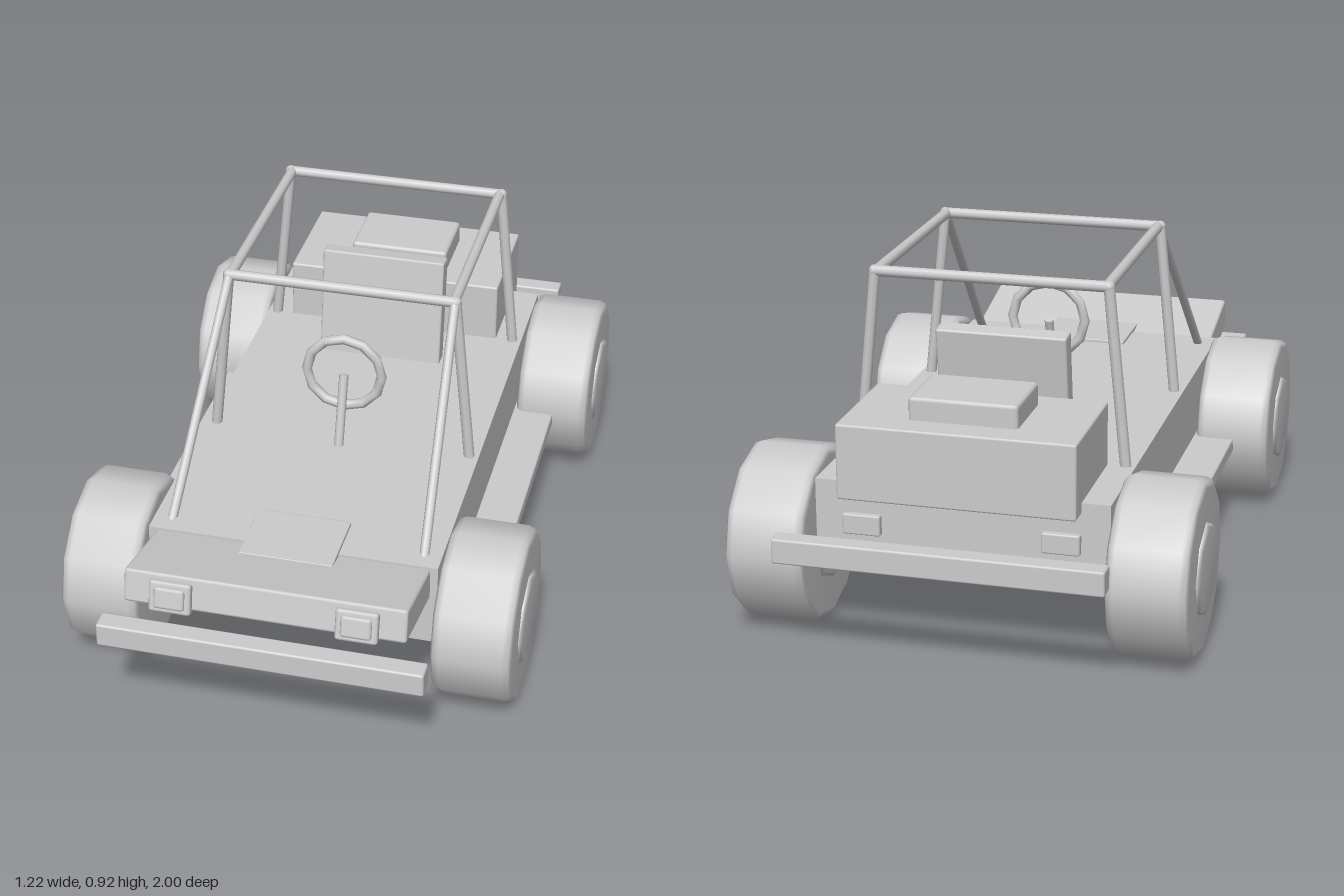
import * as THREE from 'three';
import { RoundedBoxGeometry } from 'three/addons/geometries/RoundedBoxGeometry.js';

const grey = new THREE.MeshStandardMaterial({ color: 0xcccccc });

export function createModel() {
  const model = new THREE.Group();
  model.name = 'buggy';

  const add = (name, geometry, x, y, z, parent = model) => {
    const mesh = new THREE.Mesh(geometry, grey);
    mesh.name = name;
    mesh.position.set(x, y, z);
    parent.add(mesh);
    return mesh;
  };
  const box = (name, [w, h, d], [x, y, z], bevel = 0.006, parent = model) =>
    add(name, new RoundedBoxGeometry(w, h, d, 1, bevel), x, y, z, parent);

  // Straight tube between two points
  const bar = (name, from, to, radius = 0.015) => {
    const a = new THREE.Vector3(...from), b = new THREE.Vector3(...to);
    const dir = b.clone().sub(a);
    const mid = a.clone().add(b).multiplyScalar(0.5);
    const mesh = add(name, new THREE.CylinderGeometry(radius, radius, dir.length(), 8), mid.x, mid.y, mid.z);
    mesh.quaternion.setFromUnitVectors(new THREE.Vector3(0, 1, 0), dir.normalize());
    return mesh;
  };

  // Chassis
  add('body', new THREE.BoxGeometry(0.77, 0.235, 1.44), 0, 0.3125, -0.05);

  // Tilted hood with headlights set in its nose
  const hood = new THREE.Group();
  hood.name = 'hood';
  hood.position.set(0, 0.394, 0.745);
  hood.rotation.x = -0.22;
  model.add(hood);
  box('hoodPanel', [0.73, 0.09, 0.38], [0, 0, 0], 0.008, hood);
  box('hoodScoop', [0.25, 0.03, 0.2], [0, 0.424, 0.635], 0.003);

  // Engine block with air box
  box('engine', [0.62, 0.2, 0.345], [0, 0.5, -0.653]);
  box('airBox', [0.285, 0.08, 0.205], [0, 0.62, -0.646], 0.01);

  // Seat
  const seat = box('seatBack', [0.355, 0.32, 0.055], [0, 0.575, -0.348]);
  seat.rotation.x = -0.14;

  // Steering wheel and column
  add('steeringWheel', new THREE.TorusGeometry(0.105, 0.014, 8, 12), 0, 0.625, 0.115);
  bar('steeringColumn', [0, 0.62, 0.118], [0, 0.41, 0.185], 0.013);

  // Bumpers and roll cage cross bars
  const top = 0.905, frontZ = 0.145, rearZ = -0.485;
  for (const z of [0.972, -0.972]) box('bumper', [0.845, 0.066, 0.056], [0, 0.317, z]);
  for (const z of [frontZ, rearZ]) bar('cageCrossBar', [-0.315, top, z], [0.315, top, z]);

  // Wheel profiles, turned about the axle
  const lathe = (pts, sides) => {
    const g = new THREE.LatheGeometry(pts.map(([r, h]) => new THREE.Vector2(r, h)), sides);
    return g.rotateZ(Math.PI / 2);
  };
  const tyre = lathe([[0, -0.105], [0.215, -0.105], [0.228, -0.098], [0.235, -0.082],
    [0.235, 0.082], [0.228, 0.098], [0.215, 0.105], [0, 0.105]], 12);
  const hub = lathe([[0, -0.115], [0.113, -0.115], [0.125, -0.106],
    [0.125, 0.106], [0.113, 0.115], [0, 0.115]], 8);

  for (const s of [-1, 1]) {
    // Headlight housing and lens
    box('headlightHousing', [0.11, 0.085, 0.04], [s * 0.24, -0.012, 0.187], 0.008, hood);
    box('headlightLens', [0.08, 0.058, 0.02], [s * 0.24, -0.012, 0.205], 0.008, hood);

    box('tailLight', [0.1, 0.055, 0.035], [s * 0.26, 0.32, -0.77], 0.005);
    box('sideStep', [0.13, 0.04, 0.86], [s * 0.435, 0.215, -0.045], 0.005);

    // Roll cage uprights, roof rails and front struts
    for (const z of [frontZ, rearZ]) {
      bar('cageUpright', [s * 0.36, 0.41, z], [s * 0.31, top, z]);
      add('cageJoint', new THREE.SphereGeometry(0.016, 8, 6), s * 0.31, top, z);
    }
    bar('cageRoofRail', [s * 0.305, top, frontZ], [s * 0.305, top, rearZ]);
    bar('cageStrut', [s * 0.338, 0.42, 0.62], [s * 0.308, top, frontZ], 0.013);

    // Wheels
    for (const z of [0.555, -0.645]) {
      const wheel = new THREE.Group();
      wheel.name = 'wheel';
      wheel.position.set(s * 0.495, 0.235, z);
      model.add(wheel);
      add('tyre', tyre, 0, 0, 0, wheel);
      add('hub', hub, 0, 0, 0, wheel);
    }
  }
  return model;
}
